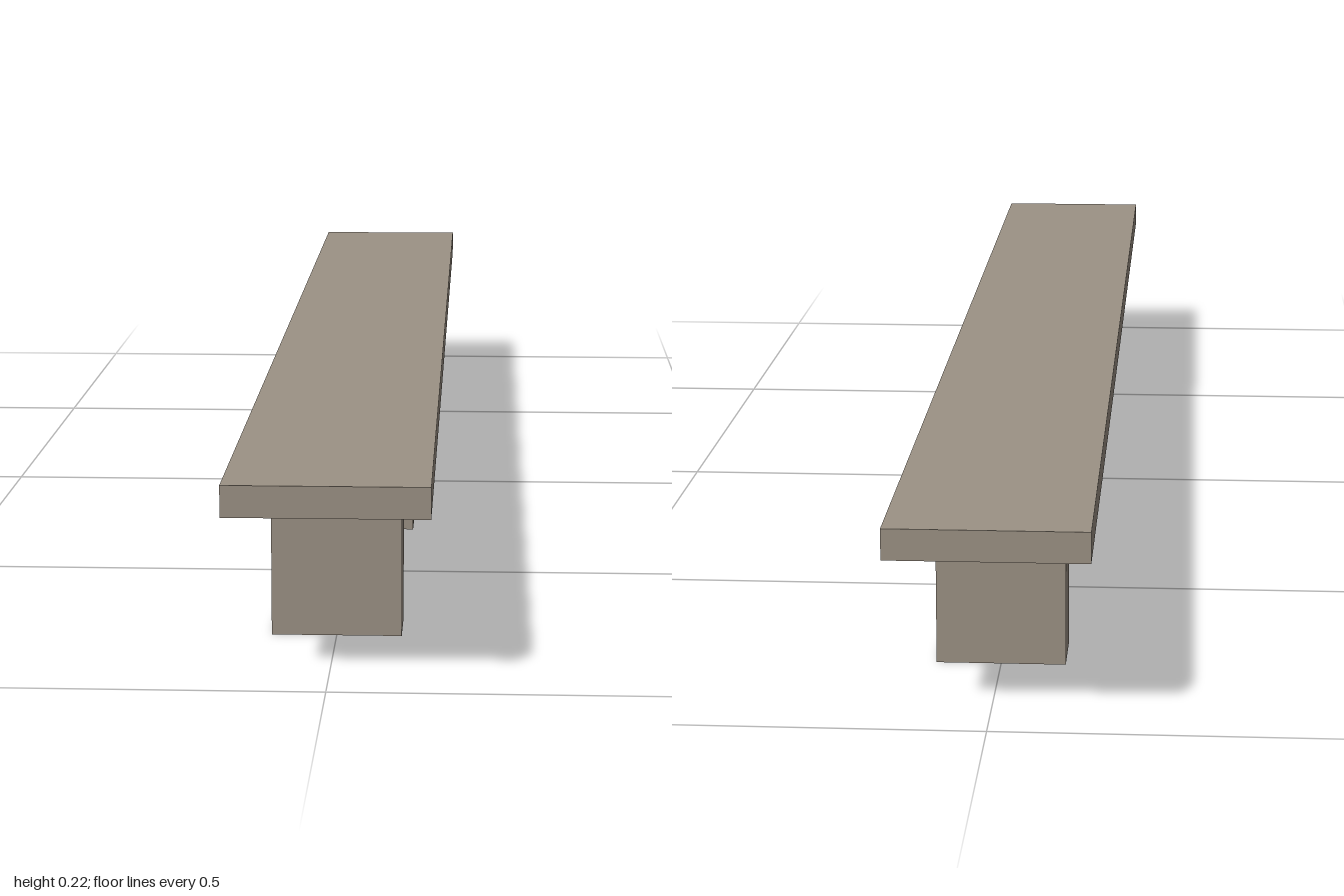
import * as THREE from 'three';

// Box without top and bottom faces: a hollow rectangular sleeve
function sleeve(w, h, d) {
  const geometry = new THREE.BoxGeometry(w, h, d);
  const index = Array.from(geometry.index.array);
  index.splice(12, 12);
  geometry.setIndex(index);
  geometry.clearGroups();
  return geometry;
}

export function createModel() {
  const group = new THREE.Group();
  group.name = 'longBench';

  const stone = new THREE.MeshStandardMaterial({ color: 0x9c9285, side: THREE.DoubleSide });
  stone.name = 'warm grey stone';

  // Long flat slab
  const slabBottom = 0.19, slabTop = 0.225;
  const slab = new THREE.Mesh(new THREE.BoxGeometry(0.223, slabTop - slabBottom, 2), stone);
  slab.name = 'seatSlab';
  slab.position.y = (slabBottom + slabTop) / 2;
  group.add(slab);

  // Four evenly spaced hollow legs, open underneath
  const legGeometry = sleeve(0.149, slabBottom, 0.072);
  for (let i = 0; i < 4; i++) {
    const leg = new THREE.Mesh(legGeometry, stone);
    leg.name = `leg${i + 1}`;
    leg.position.set(0, slabBottom / 2, 0.75 - i * 0.5);
    group.add(leg);
  }
  return group;
}
